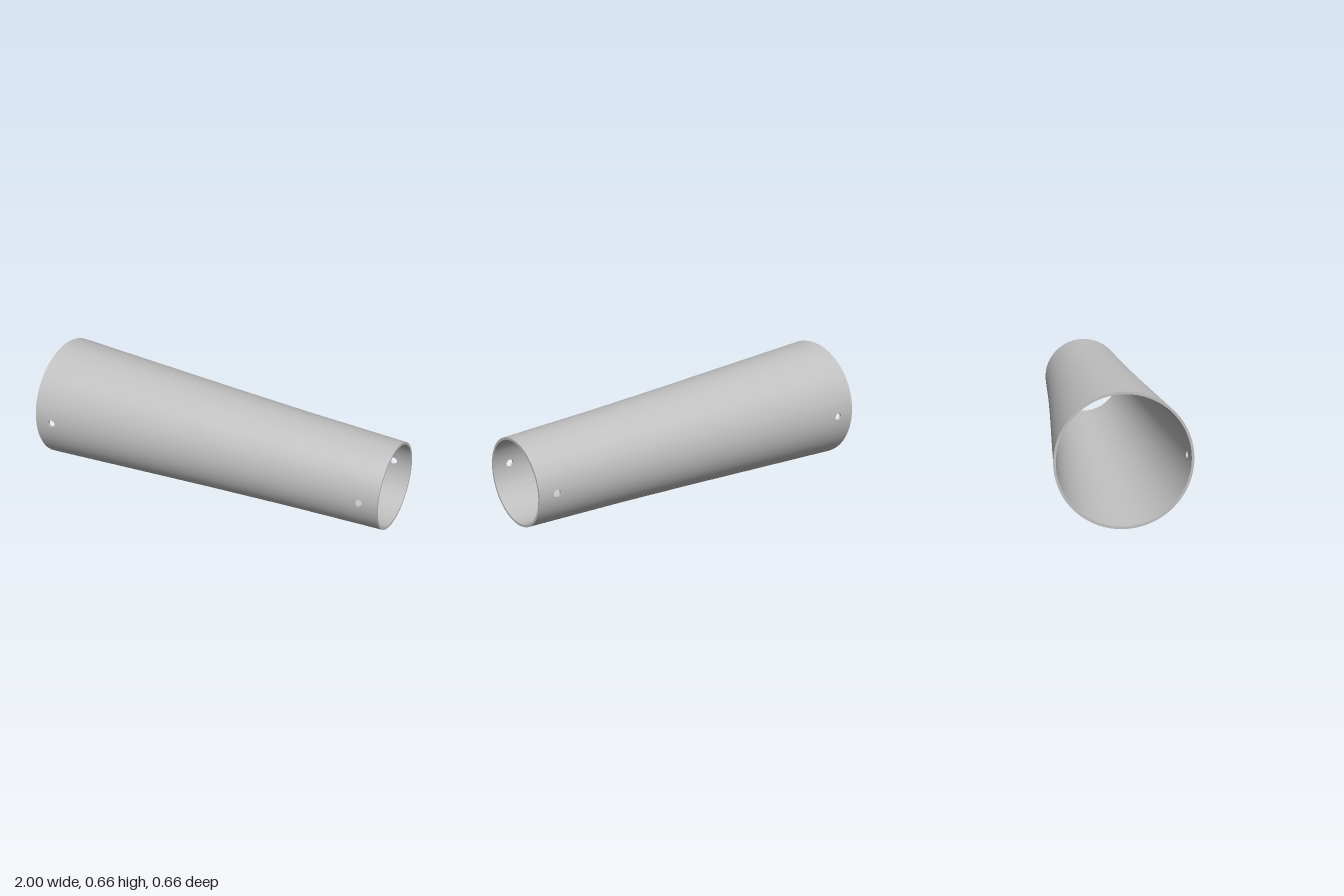
import * as THREE from 'three';

const SEG = 96, STEP = (2 * Math.PI) / SEG;
const CENTER = 0.333, WALL = 0.0125, HOLE_R = 0.02, HOLE_X = 0.9;
const PATCH_X = 0.05, PATCH_SEG = 3, PATCH_A = PATCH_SEG * STEP;

// outer radius along the length: a taper that eases off toward the narrow end
const PROFILE = [[-1, 0.332], [0, 0.276], [0.45, 0.2535], [1, 0.232]];
function radius(x) {
  let i = 0;
  while (i < PROFILE.length - 2 && x > PROFILE[i + 1][0]) i++;
  const [x0, r0] = PROFILE[i], [x1, r1] = PROFILE[i + 1];
  return r0 + ((r1 - r0) * (x - x0)) / (x1 - x0);
}

// point on the tube wall; angle 0 faces the front, depth goes inward
function wallPoint(x, a, depth) {
  const r = radius(x) - depth;
  return [x, r * Math.sin(a), r * Math.cos(a)];
}

function wallNormal(x, a, sign) {
  const slope = (radius(x - 0.05) - radius(x + 0.05)) / 0.1;
  return new THREE.Vector3(slope, Math.sin(a), Math.cos(a)).normalize().multiplyScalar(sign).toArray();
}

// grid of quads; at(u, v) returns { p, n }
function gridGeometry(nu, nv, at, flip = false) {
  const pos = [], nor = [], idx = [];
  for (let i = 0; i <= nu; i++) {
    for (let j = 0; j <= nv; j++) {
      const { p, n } = at(i, j);
      pos.push(...p);
      nor.push(...n);
      if (i < nu && j < nv) {
        const a = i * (nv + 1) + j, b = a + nv + 1;
        if (flip) idx.push(a, b + 1, b, a, a + 1, b + 1);
        else idx.push(a, b, b + 1, a, b + 1, a + 1);
      }
    }
  }
  const g = new THREE.BufferGeometry();
  g.setAttribute('position', new THREE.Float32BufferAttribute(pos, 3));
  g.setAttribute('normal', new THREE.Float32BufferAttribute(nor, 3));
  g.setIndex(idx);
  return g;
}

// stretch of wall between two stations and two angle steps
function wallBand(x0, x1, s0, s1, depth, sign) {
  return gridGeometry(1, s1 - s0, (i, j) => {
    const x = i ? x1 : x0, a = (s0 + j) * STEP;
    return { p: wallPoint(x, a, depth), n: wallNormal(x, a, sign) };
  }, sign < 0);
}

// k-th point on the edge of a square running from -1 to 1
const SIDE = PATCH_SEG * 2, EDGE = SIDE * 4;
function squarePoint(k) {
  const t = ((k % SIDE) / SIDE) * 2 - 1;
  return [[1, t], [-t, 1], [-1, -t], [t, -1]][Math.floor(k / SIDE) % 4];
}

// rim of a drilled hole as length position and angle offset
function rimPoint(hx, k, depth) {
  const [u, v] = squarePoint(k), phi = Math.atan2(v, u);
  const x = hx + HOLE_R * Math.cos(phi);
  return [x, Math.asin((HOLE_R * Math.sin(phi)) / (radius(x) - depth)), phi];
}

// square piece of wall with a round hole in it
function holePatch(hx, a0, depth, sign) {
  const rings = 3;
  return gridGeometry(rings, EDGE, (i, k) => {
    const t = i / rings, [u, v] = squarePoint(k), [rx, ra] = rimPoint(hx, k, depth);
    const x = rx + (hx + u * PATCH_X - rx) * t;
    const a = a0 + ra + (v * PATCH_A - ra) * t;
    return { p: wallPoint(x, a, depth), n: wallNormal(x, a, sign) };
  }, sign < 0);
}

// inside of a drilled hole, through the wall thickness
function holeBore(hx, a0) {
  const s = Math.cos(a0);
  return gridGeometry(1, EDGE, (i, k) => {
    const depth = i ? 0 : WALL, [x, a, phi] = rimPoint(hx, k, depth);
    return { p: wallPoint(x, a0 + a, depth), n: [-Math.cos(phi), -s * Math.sin(phi), 0] };
  });
}

export function createModel() {
  const model = new THREE.Group();
  model.name = 'taperedTube';
  const metal = new THREE.MeshStandardMaterial({ color: 0xc0c0c0 });
  metal.name = 'light grey';
  const add = (parent, name, geometry) => {
    const mesh = new THREE.Mesh(geometry, metal);
    mesh.name = name;
    parent.add(mesh);
    return mesh;
  };

  const stations = [-1, -HOLE_X - PATCH_X, -HOLE_X + PATCH_X, 0, 0.45,
    HOLE_X - PATCH_X, HOLE_X + PATCH_X, 1];
  const half = SEG / 2;

  // outer and inner walls
  for (const [name, depth, sign] of [['outerWall', 0, 1], ['innerWall', WALL, -1]]) {
    const wall = new THREE.Group();
    wall.name = name;
    model.add(wall);
    for (let i = 0; i < stations.length - 1; i++) {
      const x0 = stations[i], x1 = stations[i + 1];
      if (i === 1 || i === 5) {
        // drilled bands leave room for a hole at the front and the back
        for (const s of [0, half]) {
          add(wall, name + 'Band', wallBand(x0, x1, s + PATCH_SEG, s + half - PATCH_SEG, depth, sign));
          add(wall, name + 'HolePatch', holePatch((x0 + x1) / 2, s * STEP, depth, sign));
        }
      } else {
        add(wall, name + 'Band', wallBand(x0, x1, 0, SEG, depth, sign));
      }
    }
  }

  // bores of the four pin holes
  for (const hx of [-HOLE_X, HOLE_X]) {
    for (const a0 of [0, Math.PI]) add(model, 'pinHole', holeBore(hx, a0));
  }

  // flat rims closing the wall at each end
  for (const end of [-1, 1]) {
    const r = radius(end);
    const rim = add(model, end < 0 ? 'wideRim' : 'narrowRim', new THREE.RingGeometry(r - WALL, r, SEG));
    rim.rotation.y = (end * Math.PI) / 2;
    rim.position.x = end;
  }

  for (const part of model.children) part.position.y = CENTER;
  return model;
}
